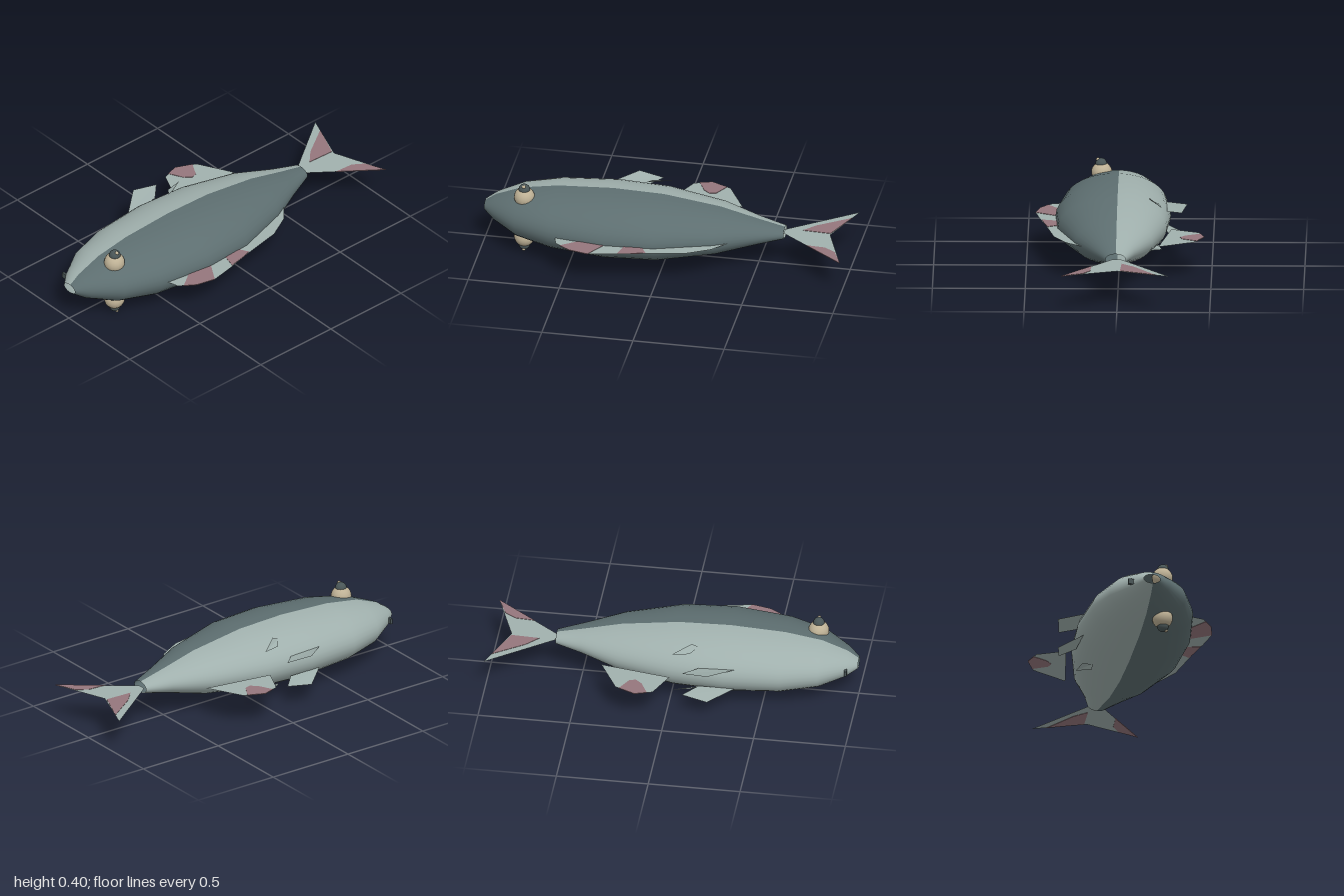
import * as THREE from 'three';

const mat = (name, color, side = THREE.DoubleSide) => {
  const m = new THREE.MeshStandardMaterial({ color, side });
  m.name = name;
  return m;
};

const MID = 0.2;    // height of the fish's plane of symmetry
const SEAM = 0.01;  // z where back colour meets belly colour

// Body sections: x, belly z, back z, half thickness
const SECTIONS = [
  [-1, -0.04, 0.05, 0.025], [-0.94, -0.095, 0.115, 0.068], [-0.8, -0.188, 0.23, 0.123],
  [-0.6, -0.248, 0.305, 0.156], [-0.3, -0.274, 0.347, 0.172], [-0.02, -0.255, 0.332, 0.164],
  [0.29, -0.183, 0.235, 0.12], [0.5, -0.09, 0.13, 0.066], [0.645, -0.042, 0.066, 0.031],
];

// One colour band of the open body tube, from the seam around to the other seam
function bodyBand(isBack) {
  const n = 18, pos = [], idx = [];
  SECTIONS.forEach(([x, lo, hi, ry], i) => {
    const zc = (lo + hi) / 2, rz = (hi - lo) / 2;
    const s = Math.acos((SEAM - zc) / rz);
    const from = isBack ? -s : s, to = isBack ? s : Math.PI * 2 - s;
    for (let j = 0; j <= n; j++) {
      const a = from + (to - from) * j / n;
      pos.push(x, MID + ry * Math.sin(a), zc + rz * Math.cos(a));
      if (i < SECTIONS.length - 1 && j < n) {
        const p = i * (n + 1) + j, q = p + n + 1;
        idx.push(p, q, p + 1, q, q + 1, p + 1);
      }
    }
  });
  const g = new THREE.BufferGeometry();
  g.setAttribute('position', new THREE.Float32BufferAttribute(pos, 3));
  g.setIndex(idx);
  g.computeVertexNormals();
  return g;
}

const outline = (pts) => new THREE.Shape(pts.map(([x, z]) => new THREE.Vector2(x, z)));

// Flat sheet lying in the plane of symmetry
const sheet = (pts) => new THREE.ShapeGeometry(outline(pts)).rotateX(Math.PI / 2).translate(0, MID, 0);

// Thin coloured plate showing on both faces of a sheet
const plate = (pts) => new THREE.ExtrudeGeometry(outline(pts), { depth: 0.004, bevelEnabled: false })
  .rotateX(Math.PI / 2).translate(0, MID + 0.002, 0);

// Flat fin through points in space, flipped to the other flank when side is -1
function sideFin(pts, side) {
  const pos = [];
  for (let i = 1; i < pts.length - 1; i++) {
    const tri = side > 0 ? [0, i, i + 1] : [0, i + 1, i];
    tri.forEach((k) => pos.push(pts[k][0], MID + side * pts[k][1], pts[k][2]));
  }
  const g = new THREE.BufferGeometry();
  g.setAttribute('position', new THREE.Float32BufferAttribute(pos, 3));
  g.computeVertexNormals();
  return g;
}

export function createModel() {
  const fish = new THREE.Group();
  fish.name = 'fish';
  const back = mat('slate back', 0x5d6e70);
  const pale = mat('pale belly', 0xa0b0ad);
  const pink = mat('dusky pink', 0x95767c);
  const cream = mat('eye cream', 0xbfb296, THREE.FrontSide);
  const dark = mat('pupil dark', 0x4a5657, THREE.FrontSide);
  const add = (name, geometry, material, parent = fish) => {
    const m = new THREE.Mesh(geometry, material);
    m.name = name;
    parent.add(m);
    return m;
  };

  // Body, open at mouth and tail
  add('bodyBack', bodyBand(true), back);
  add('bodyBelly', bodyBand(false), pale);

  // Fins in the plane of symmetry
  add('tailFin', sheet([[0.64, -0.018], [1, -0.28], [0.89, 0], [1, 0.3], [0.64, 0.028]]), pale);
  add('dorsalFin', sheet([[-0.57, 0.2], [-0.57, 0.28], [-0.545, 0.37], [-0.46, 0.43], [-0.355, 0.455],
    [-0.22, 0.43], [-0.1, 0.4], [0.16, 0.35], [0.29, 0.28], [0.37, 0.19], [0.2, 0.15]]), pale);
  add('analFin', sheet([[-0.01, -0.28], [0.06, -0.43], [0.155, -0.46], [0.265, -0.41], [0.37, -0.215]]), pale);

  // Pink patches on the fins
  [
    ['tailPatch', [[0.735, -0.022], [0.8, -0.09], [0.97, -0.205], [0.888, -0.015]]],
    ['tailPatch', [[0.785, 0.138], [0.89, 0.145], [0.95, 0.185], [1, 0.3]]],
    ['dorsalPatch', [[-0.52, 0.39], [-0.46, 0.43], [-0.355, 0.455], [-0.29, 0.35], [-0.3, 0.31], [-0.42, 0.32]]],
    ['dorsalPatch', [[-0.2, 0.42], [-0.1, 0.4], [-0.05, 0.385], [-0.09, 0.31], [-0.17, 0.31]]],
    ['analPatch', [[0.09, -0.44], [0.155, -0.46], [0.245, -0.42], [0.2, -0.34], [0.165, -0.33], [0.13, -0.36]]],
  ].forEach(([name, pts]) => add(name, plate(pts), pink));

  // Paired fins and eyes on both flanks
  for (const side of [1, -1]) {
    add('pelvicFin', sideFin([[-0.36, 0.062, -0.25], [-0.225, 0.084, -0.365],
      [-0.085, 0.07, -0.335], [-0.165, 0.058, -0.255]], side), pale);
    add('pectoralFin', sideFin([[-0.15, 0.13, -0.16], [-0.11, 0.115, -0.212],
      [-0.015, 0.115, -0.23], [-0.115, 0.147, -0.16]], side), pale);

    const eye = new THREE.Group();
    eye.name = 'eye';
    eye.position.set(-0.767, MID, 0.105);
    fish.add(eye);
    const ball = (name, r, material, y, z) =>
      add(name, new THREE.SphereGeometry(r, 20, 14), material, eye).position.set(0, side * y, z);
    ball('eyeball', 0.056, cream, 0.12, 0);
    ball('pupil', 0.031, dark, 0.167, 0.003);
    ball('eyeGlint', 0.01, cream, 0.19, 0.02);
  }

  // Small barbel under the chin
  add('barbel', new THREE.BoxGeometry(0.014, 0.03, 0.03), dark).position.set(-0.942, MID, -0.1);
  return fish;
}
